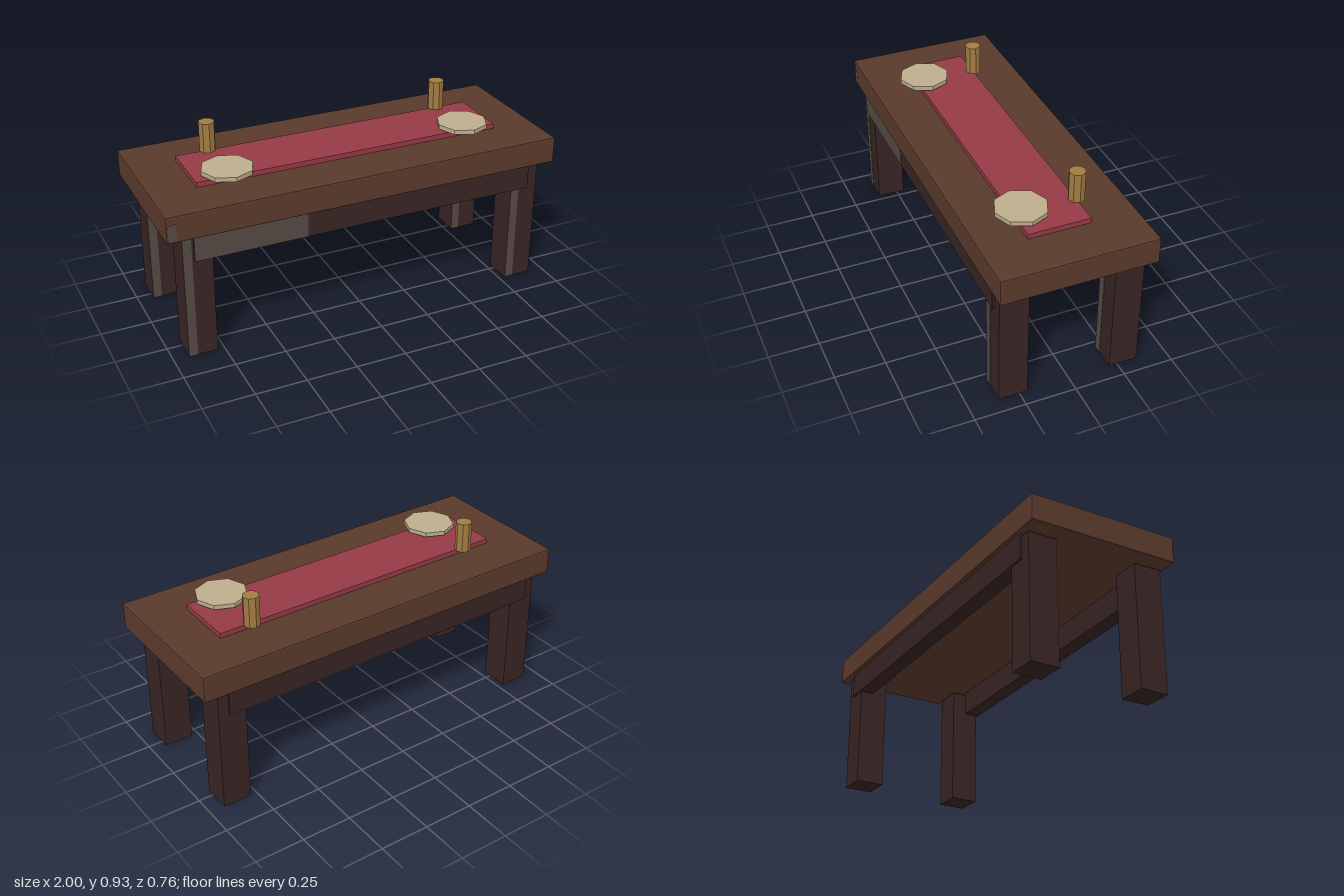
import * as THREE from 'three';
import { RoundedBoxGeometry } from 'three/addons/geometries/RoundedBoxGeometry.js';

export function createModel() {
  const model = new THREE.Group();
  model.name = 'diningTable';

  const mat = (name, color) => {
    const m = new THREE.MeshStandardMaterial({ color, flatShading: true });
    m.name = name;
    return m;
  };
  const wood = mat('brown wood', 0x5a3a2c);
  const darkWood = mat('dark wood', 0x382424);
  const worn = mat('worn grey wood', 0x544943);
  const cloth = mat('red cloth', 0x943a46);
  const brass = mat('brass', 0xa27c42);
  const ceramic = mat('cream ceramic', 0xbcae8c);

  const add = (name, geometry, material, x, y, z) => {
    const mesh = new THREE.Mesh(geometry, material);
    mesh.name = name;
    mesh.position.set(x, y, z);
    model.add(mesh);
    return mesh;
  };
  // Box given by its lower and upper limits on each axis
  const slab = (name, material, [x0, x1], [y0, y1], [z0, z1], bevel = 0) => {
    const size = [x1 - x0, y1 - y0, z1 - z0];
    const geometry = bevel
      ? new RoundedBoxGeometry(...size, 1, bevel)
      : new THREE.BoxGeometry(...size);
    return add(name, geometry, material, (x0 + x1) / 2, (y0 + y1) / 2, (z0 + z1) / 2);
  };

  // Table top with softened edges, and a small worn corner
  slab('tableTop', wood, [-1, 1], [0.628, 0.76], [-0.38, 0.38], 0.007);
  slab('wornCorner', worn, [-0.992, -0.95], [0.636, 0.72], [0.379, 0.3815]);

  // Front and back rails, worn on the front-facing side
  for (const [name, z0, z1] of [['frontRail', 0.285, 0.362], ['backRail', -0.362, -0.285]]) {
    slab(name, darkWood, [-0.87, 0.87], [0.503, 0.63], [z0, z1]);
    slab(name + 'Wear', worn, [-0.87, -0.32], [0.503, 0.628], [z1, z1 + 0.002]);
  }

  // Four square legs with a worn strip down the front
  for (const sx of [-1, 1]) {
    for (const sz of [-1, 1]) {
      const name = (sz > 0 ? 'front' : 'back') + (sx > 0 ? 'Left' : 'Right') + 'Leg';
      const x = sx * 0.853, z = sz * 0.281;
      slab(name, darkWood, [x - 0.071, x + 0.071], [0, 0.617], [z - 0.071, z + 0.071]);
      slab(name + 'Wear', worn, [x - 0.071, x - 0.028], [0, 0.617], [z + 0.071, z + 0.073]);
    }
  }

  // Cloth runner
  slab('runner', cloth, [-0.78, 0.78], [0.755, 0.785], [-0.149, 0.158]);

  // A plate and a cup at each end
  for (const sx of [-1, 1]) {
    add('plate', new THREE.CylinderGeometry(0.127, 0.127, 0.022, 8), ceramic, sx * 0.617, 0.806, 0.119);
    add('cup', new THREE.CylinderGeometry(0.04, 0.04, 0.153, 8), brass, sx * 0.617, 0.856, -0.153);
  }
  return model;
}
